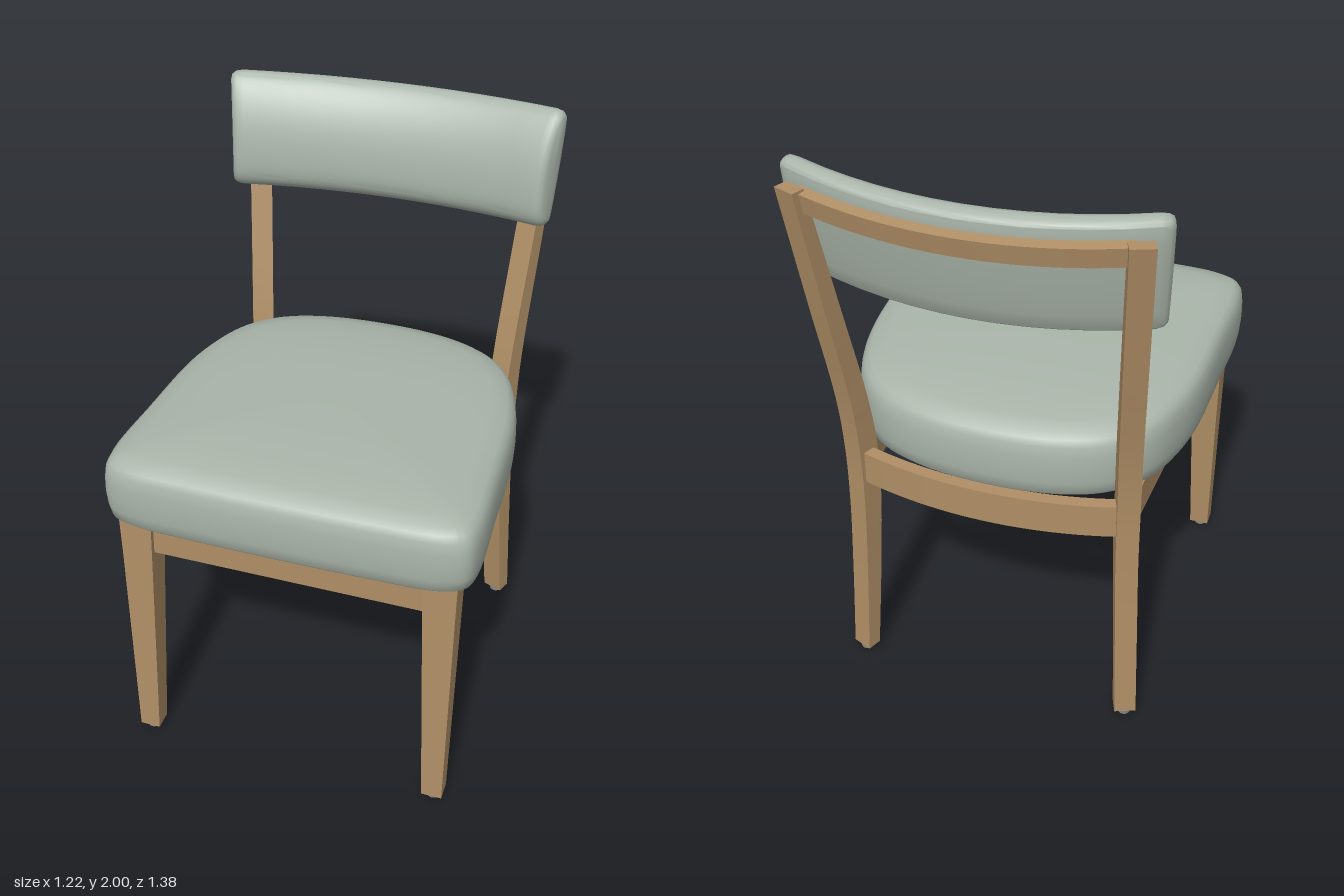
import * as THREE from 'three';
import { toCreasedNormals } from 'three/addons/utils/BufferGeometryUtils.js';

const material = (name, color) => Object.assign(new THREE.MeshStandardMaterial({ color }), { name });

// Skin a list of equal-length rings of [x, y, z] points and close both ends
function loft(rings, crease = 0.6) {
  const n = rings[0].length, last = (rings.length - 1) * n;
  const mean = r => [0, 1, 2].map(k => r.reduce((s, p) => s + p[k], 0) / n);
  const points = [...rings.flat(), mean(rings[0]), mean(rings.at(-1))];
  const index = [];
  for (let j = 0; j < n; j++) {
    const k = (j + 1) % n;
    for (let a = 0; a < last; a += n) {
      index.push(a + j, a + n + j, a + k, a + k, a + n + j, a + n + k);
    }
    index.push(last + n, j, k, last + n + 1, last + k, last + j);
  }
  const geo = new THREE.BufferGeometry();
  geo.setAttribute('position', new THREE.Float32BufferAttribute(points.flat(), 3));
  geo.setIndex(index);
  return toCreasedNormals(geo, crease);
}

// Horizontal rectangle, turned about its centre
function section(x, y, z, w, d, turn = 0) {
  const c = Math.cos(turn), s = Math.sin(turn);
  return [[1, -1], [1, 1], [-1, 1], [-1, -1]].map(([i, k]) => {
    const dx = i * w / 2, dz = k * d / 2;
    return [x + dx * c - dz * s, y, z + dx * s + dz * c];
  });
}

// Wrap a point around the arc shared by the backrest and the rear rails
const R = 1.53;
const bend = (x, v, w) => {
  const a = x / R, r = R - w;
  return [r * Math.sin(a), v, R - r * Math.cos(a)];
};

function curvedRail(half, v0, v1, w0, w1) {
  const rings = [];
  for (let i = 0; i <= 20; i++) {
    const x = half * (i / 10 - 1);
    rings.push([[v1, w1], [v1, w0], [v0, w0], [v0, w1]].map(([v, w]) => bend(x, v, w)));
  }
  return loft(rings);
}

// Smooth closed outline through a few 2D points
function outline(pts, count) {
  const curve = new THREE.CatmullRomCurve3(pts.map(([a, b]) => new THREE.Vector3(a, b, 0)), true);
  return curve.getPoints(count).slice(0, -1).map(p => [p.x, p.y]);
}

function seatGeometry() {
  const half = [[0.2, -0.465], [0.35, -0.42], [0.44, -0.36], [0.51, -0.27], [0.555, -0.15], [0.585, 0],
    [0.6, 0.3], [0.606, 0.57], [0.585, 0.64], [0.52, 0.672], [0.3, 0.685]];
  const mirrored = half.map(([x, z]) => [-x, z]).reverse();
  const plan = outline([[0, -0.48], ...half, [0, 0.688], ...mirrored], 144);
  // Inset and height, from the underside over the soft edge to the crown
  const profile = [[0.965, 0.935], [0.985, 0.948], [0.996, 0.99], [1, 1.04], [0.997, 1.09], [0.988, 1.13],
    [0.97, 1.152], [0.94, 1.167], [0.85, 1.18], [0.7, 1.191], [0.5, 1.199], [0.3, 1.203], [0.1, 1.204]];
  return loft(profile.map(([s, y]) => plan.map(([x, z0]) => {
    const z = 0.1 + (z0 - 0.1) * s;
    return [x * s, y + 0.028 * (z - 0.6), z];
  })), 0.9);
}

function padGeometry() {
  // Height and thickness: flat back, crowned front
  const profile = outline([[0.195, 0.045], [0.187, 0.008], [0.17, 0], [-0.17, 0], [-0.187, 0.008],
    [-0.195, 0.04], [-0.185, 0.075], [-0.15, 0.105], [-0.05, 0.125], [0.05, 0.122], [0.13, 0.1], [0.18, 0.07]], 60);
  const stations = [[0.59, 0.03], [0.586, 0.014], [0.573, 0.004], [0.55, 0]];
  for (let x = 0.45; x > 0.01; x -= 0.09) stations.push([x, 0]);
  const all = [...stations.map(([x, e]) => [-x, e]), [0, 0], ...stations.reverse()];
  return loft(all.map(([x, e]) => profile.map(([v, w]) => {
    const thin = 1 - 0.13 * (x / 0.59) ** 2;
    const ww = 0.055 + (w * thin - 0.055) * (1 - e / 0.06);
    return bend(x * (1 + 0.08 * v), v * (1 - e / 0.195), ww);
  })), 0.9);
}

export function createModel() {
  const wood = material('wood', 0xb08f66);
  const fabric = material('fabric', 0xaab5aa);
  const metal = material('glide', 0x8b9094);

  const chair = new THREE.Group();
  chair.name = 'chair';
  const add = (parent, name, geo, mat) => {
    const mesh = new THREE.Mesh(geo, mat);
    mesh.name = name;
    parent.add(mesh);
    return mesh;
  };

  add(chair, 'seatCushion', seatGeometry(), fabric);

  // Leaning back: pad and top rail share one tilted frame
  const back = new THREE.Group();
  back.name = 'backrest';
  back.position.set(0, 1.778, -0.615);
  back.rotation.x = -0.2;
  add(back, 'backPad', padGeometry(), fabric);
  add(back, 'topRail', curvedRail(0.49, 0.09, 0.155, -0.045, -0.01), wood);
  chair.add(back);

  // Seat frame
  const rear = add(chair, 'rearRail', curvedRail(0.45, 0.79, 0.91, 0, 0.042), wood);
  rear.position.z = -0.507;
  const front = add(chair, 'frontRail', new THREE.BoxGeometry(0.94, 0.13, 0.04), wood);
  front.position.set(0, 0.875, 0.6);

  // Legs and side rail, made for the left and mirrored
  const side = new THREE.Group();
  side.name = 'leftSide';
  add(side, 'frontLeg', loft([
    section(0.515, 0.02, 0.632, 0.07, 0.065),
    section(0.502, 0.8, 0.59, 0.103, 0.098),
    section(0.5, 0.938, 0.585, 0.11, 0.102),
  ]), wood);

  // Rear post: x, y, z centre with depth, swept along a smooth curve
  const posts = [[0.488, 0.02, -0.437, 0.052], [0.47, 0.4, -0.417, 0.066], [0.458, 0.7, -0.408, 0.076],
    [0.457, 0.93, -0.412, 0.078], [0.462, 1.13, -0.438, 0.07], [0.482, 1.5, -0.515, 0.06], [0.507, 1.945, -0.606, 0.045]];
  const path = new THREE.CatmullRomCurve3(posts.map(p => new THREE.Vector3(p[0], p[1], p[2])));
  const rings = [];
  for (let i = 0; i <= 30; i++) {
    const t = i / 30, p = path.getPoint(t), f = t * (posts.length - 1);
    const k = Math.min(Math.floor(f), posts.length - 2);
    const depth = THREE.MathUtils.lerp(posts[k][3], posts[k + 1][3], f - k);
    rings.push(section(p.x, p.y, p.z, 0.074, depth, 0.38));
  }
  add(side, 'rearPost', loft(rings), wood);

  const corners = [[0.475, -0.39, -0.03], [0.53, 0.56, 0], [0.49, 0.56, 0], [0.435, -0.39, -0.03]];
  add(side, 'sideRail', loft([0.82, 0.942].map(y => corners.map(([x, z, drop]) => [x, y + drop, z]))), wood);

  for (const [name, x, z] of [['frontGlide', 0.515, 0.632], ['rearGlide', 0.488, -0.437]]) {
    add(side, name, new THREE.CylinderGeometry(0.026, 0.022, 0.022, 20), metal).position.set(x, 0.011, z);
  }
  const other = side.clone();
  other.name = 'rightSide';
  other.scale.x = -1;
  chair.add(side, other);
  return chair;
}
